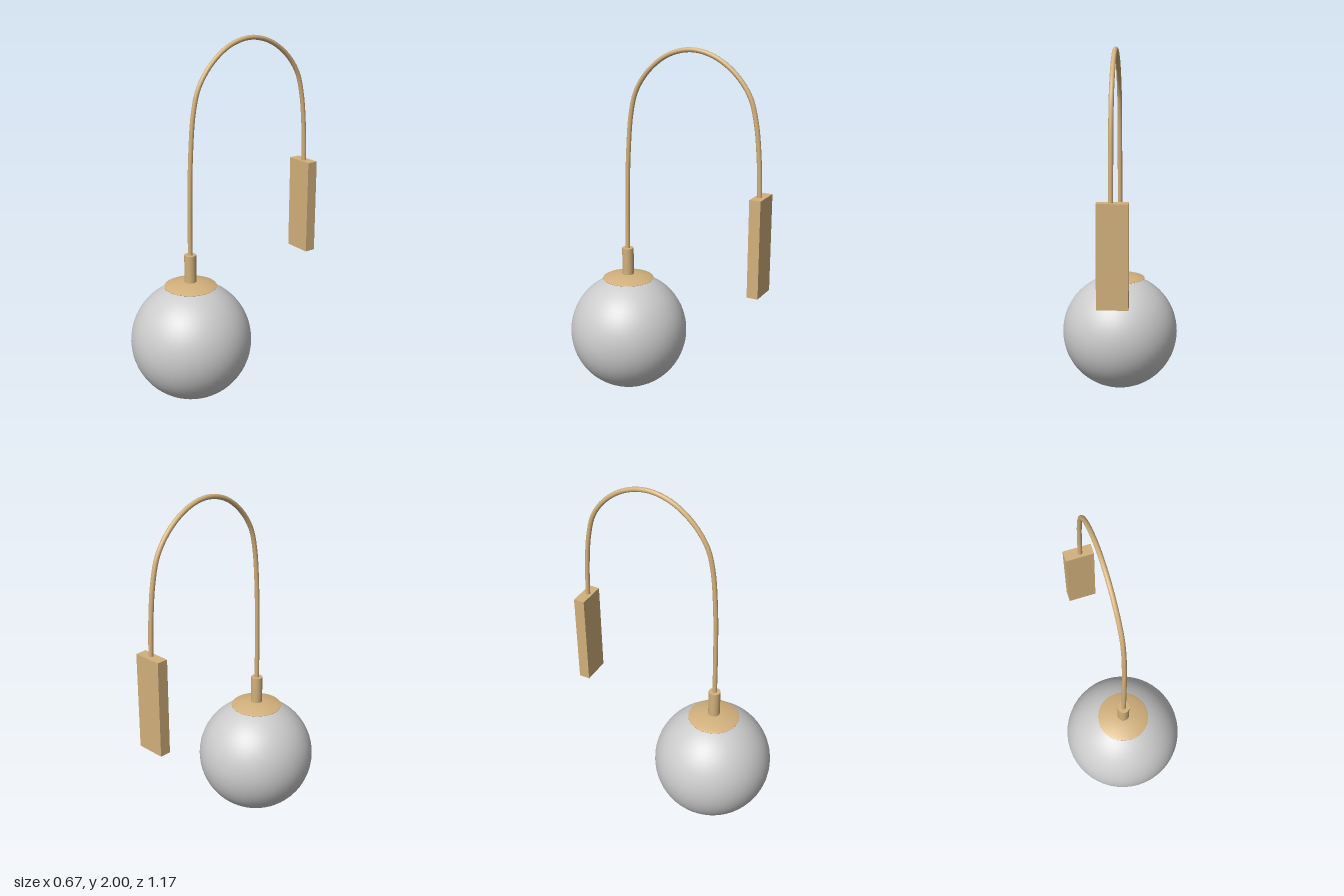
import * as THREE from 'three';

export function createModel() {
  const group = new THREE.Group();
  const brass = new THREE.MeshStandardMaterial({ color: 0xd2b07c });
  const grey = new THREE.MeshStandardMaterial({ color: 0xcccccc });
  const lampZ = 0.247;

  const add = (name, geometry, material, x, y, z) => {
    const mesh = new THREE.Mesh(geometry, material);
    mesh.name = name;
    mesh.position.set(x, y, z);
    group.add(mesh);
  };

  // Globe shade
  add('globe', new THREE.SphereGeometry(0.337, 48, 32), grey, 0, 0.34, lampZ);

  // Shallow domed cap with a flat underside
  const capProfile = [new THREE.Vector2(0, 0), new THREE.Vector2(0.145, 0), new THREE.Vector2(0.145, 0.002)];
  for (let i = 1; i <= 8; i++) {
    const r = 0.145 * (1 - i / 8);
    capProfile.push(new THREE.Vector2(r, 0.002 + 0.026 * (1 - (r / 0.145) ** 2)));
  }
  add('cap', new THREE.LatheGeometry(capProfile, 48), brass, 0, 0.662, lampZ);

  // Socket sleeve
  add('socket', new THREE.CylinderGeometry(0.033, 0.033, 0.165, 32), brass, 0, 0.7625, lampZ);

  // Arched arm, as [z, y] points from socket to wall plate
  const path = [
    [0.247, 0.83], [0.245, 1.1], [0.236, 1.4], [0.214, 1.634], [0.18, 1.756], [0.098, 1.872],
    [-0.02, 1.957], [-0.153, 1.987], [-0.286, 1.957], [-0.404, 1.876], [-0.485, 1.766],
    [-0.522, 1.634], [-0.543, 1.45], [-0.553, 1.24],
  ].map(([z, y]) => new THREE.Vector3(0, y, z));
  add('arm', new THREE.TubeGeometry(new THREE.CatmullRomCurve3(path), 96, 0.013, 16), brass, 0, 0, 0);

  // Wall plate, set slightly off the arm's centre line
  add('wallPlate', new THREE.BoxGeometry(0.162, 0.54, 0.063), brass, -0.009, 0.98, -0.556);

  return group;
}
